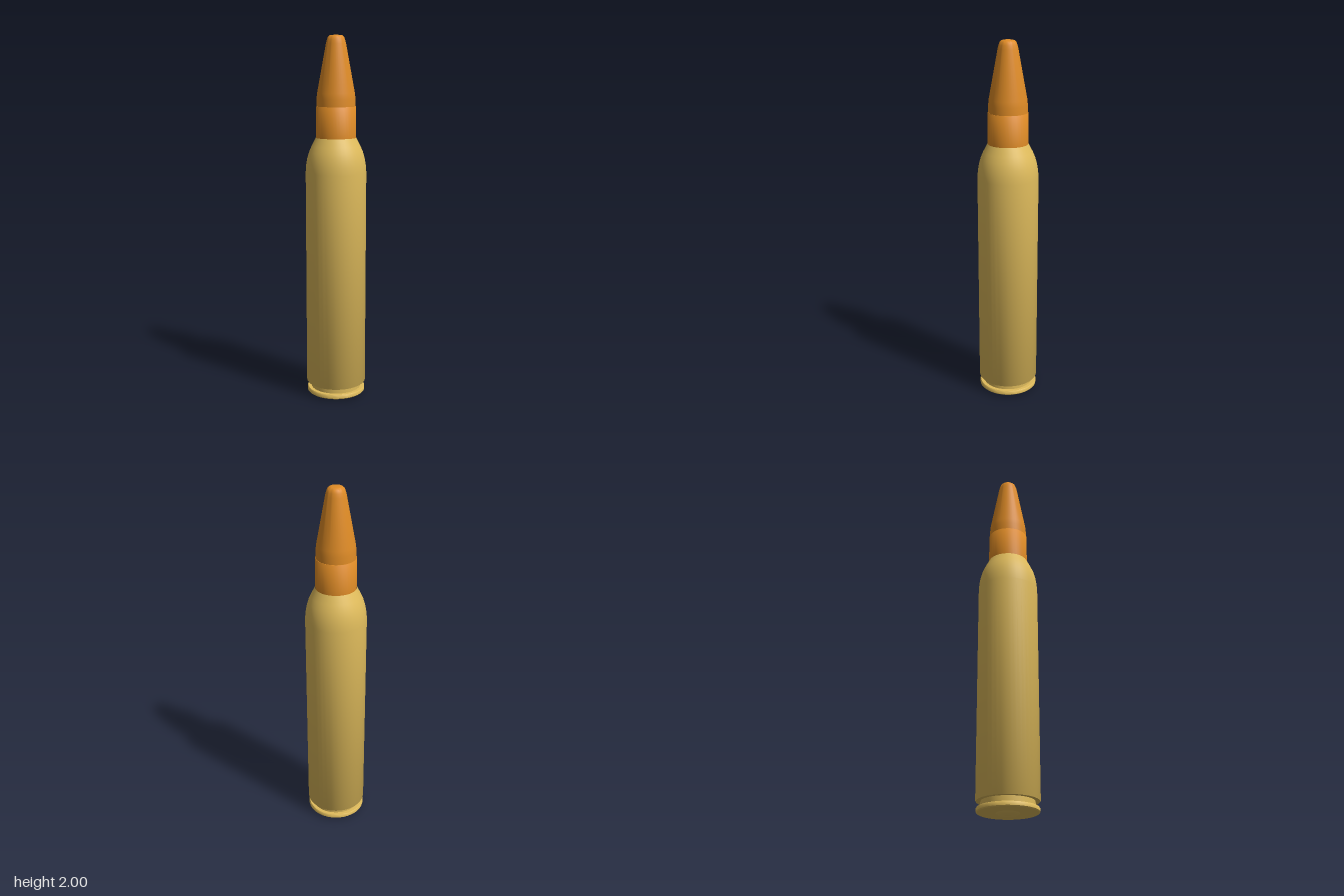
import * as THREE from 'three';
import { toCreasedNormals } from 'three/addons/utils/BufferGeometryUtils.js';

const SIDES = 40;

// Turned part from [radius, height] pairs, listed from bottom to top
function turned(name, profile, material) {
  const points = profile.map(([r, y]) => new THREE.Vector2(r, y));
  const geometry = toCreasedNormals(new THREE.LatheGeometry(points, SIDES), 0.7);
  const mesh = new THREE.Mesh(geometry, material);
  mesh.name = name;
  return mesh;
}

export function createModel() {
  const brass = new THREE.MeshStandardMaterial({ color: 0xe0bc5c });
  brass.name = 'brass';
  const copper = new THREE.MeshStandardMaterial({ color: 0xe08c26 });
  copper.name = 'copper';

  const model = new THREE.Group();
  model.name = 'cartridge';

  // Slightly domed primer proud of the base
  model.add(turned('primer', [[0, 0], [0.05, 0.003], [0.064, 0.014]], brass));

  // Base, rim, extractor groove, straight body and curved shoulder
  model.add(turned('case', [
    [0, 0.012], [0.158, 0.012], [0.163, 0.017], [0.163, 0.033], [0.159, 0.038],
    [0.14, 0.038], [0.14, 0.07],
    [0.163, 0.07], [0.166, 0.075], [0.166, 1.27],
    [0.163, 1.31], [0.157, 1.345], [0.147, 1.38], [0.133, 1.412], [0.11, 1.457],
  ], brass));

  // Neck sleeve with a thin lip around the bullet
  model.add(turned('neck', [[0.109, 1.455], [0.109, 1.622], [0.107, 1.625], [0.1, 1.625]], copper));

  // Tapered bullet with a rounded blunt tip
  model.add(turned('bullet', [
    [0.105, 1.6], [0.105, 1.665], [0.102, 1.695], [0.054, 1.955],
    [0.049, 1.975], [0.043, 1.99], [0.034, 1.998], [0.025, 2], [0, 2],
  ], copper));

  return model;
}
